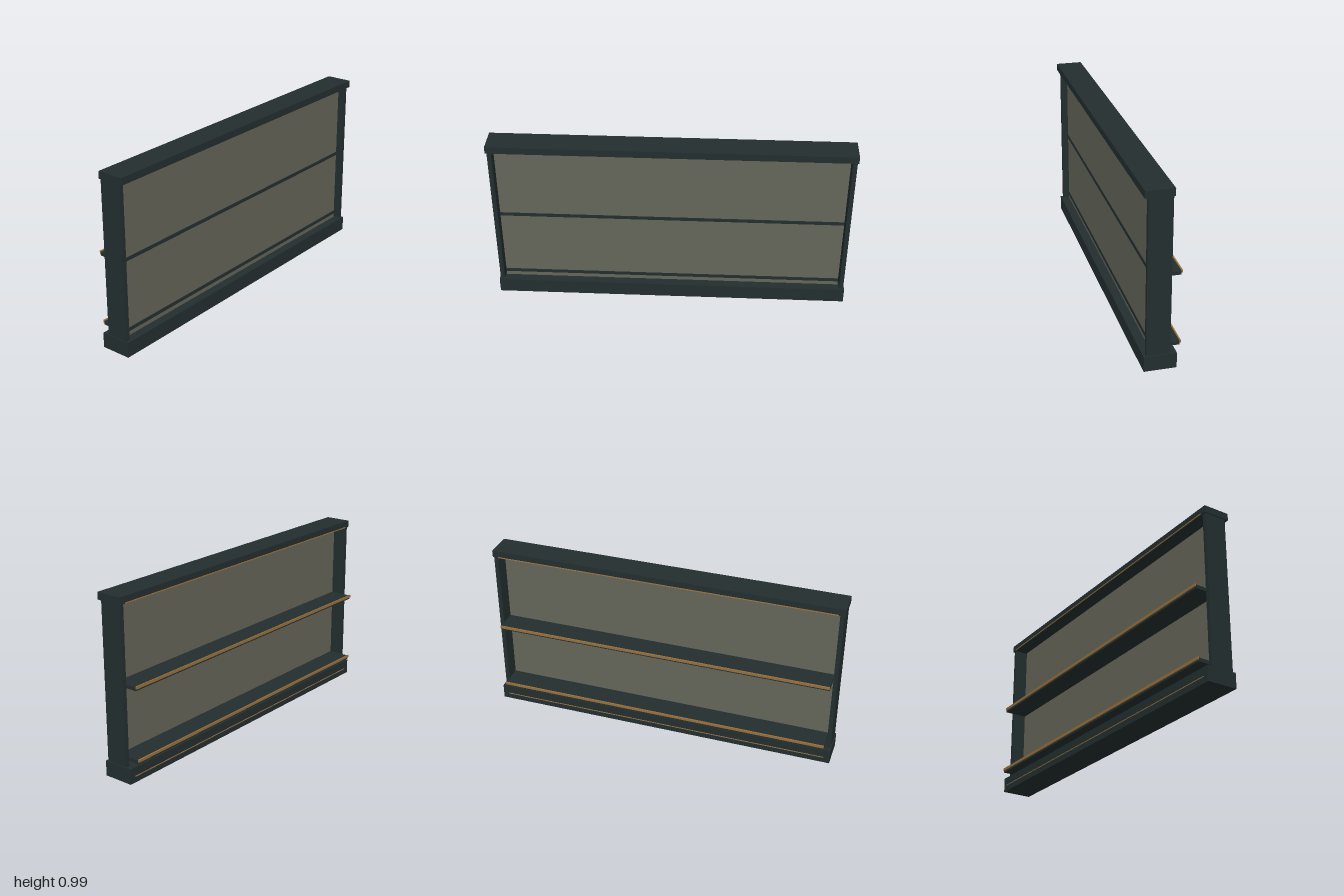
import * as THREE from 'three';

const mat = (name, color) => Object.assign(new THREE.MeshStandardMaterial({ color }), { name });

export function createModel() {
  const group = new THREE.Group();
  const frame = mat('dark frame', 0x232e2f);
  const panel = mat('olive grey panel', 0x646559);
  const brass = mat('brass trim', 0x98703c);

  // box from its minimum and maximum extents
  function box(name, material, [x0, x1], [y0, y1], [z0, z1]) {
    const mesh = new THREE.Mesh(new THREE.BoxGeometry(x1 - x0, y1 - y0, z1 - z0), material);
    mesh.position.set((x0 + x1) / 2, (y0 + y1) / 2, (z0 + z1) / 2);
    mesh.name = name;
    group.add(mesh);
  }

  // plinth and top cap
  box('base', frame, [-1, 1], [0, 0.085], [-0.073, 0.1]);
  box('topCap', frame, [-1, 1], [0.954, 0.994], [-0.046, 0.105]);

  // end posts
  box('leftPost', frame, [0.971, 0.995], [0.085, 0.954], [-0.039, 0.087]);
  box('rightPost', frame, [-0.995, -0.971], [0.085, 0.954], [-0.039, 0.087]);

  // infill panel set back between the posts
  box('infillPanel', panel, [-0.965, 0.965], [0.085, 0.954], [0.034, 0.05]);

  // shelves with a raised brass lip along the back edge
  for (const [name, y] of [['lowerShelf', 0.11], ['upperShelf', 0.51]]) {
    box(name, frame, [-0.965, 0.965], [y, y + 0.02], [-0.097, 0.053]);
    box(name + 'Lip', brass, [-0.965, 0.965], [y + 0.01, y + 0.025], [-0.103, -0.096]);
  }

  // thin brass lines on the back of the cap and base
  box('capTrim', brass, [-0.965, 0.965], [0.955, 0.96], [-0.05, -0.045]);
  box('baseTrim', brass, [-0.965, 0.965], [0.033, 0.037], [-0.076, -0.072]);

  return group;
}
